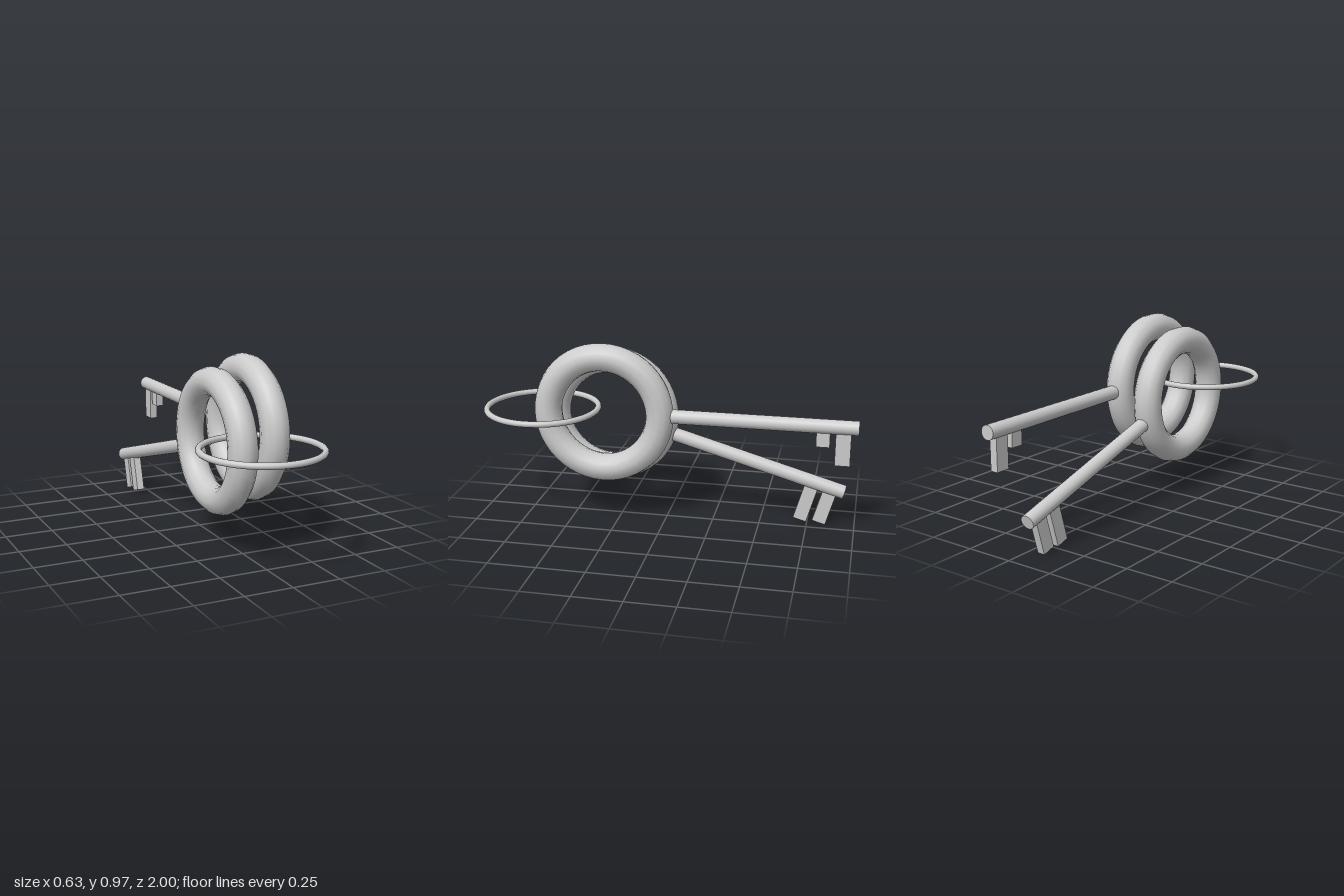
import * as THREE from 'three';

const material = new THREE.MeshStandardMaterial({ color: 0xcccccc });

function addMesh(parent, name, geometry, x = 0, y = 0, z = 0) {
  const mesh = new THREE.Mesh(geometry, material);
  mesh.name = name;
  mesh.position.set(x, y, z);
  parent.add(mesh);
  return mesh;
}

// A key whose origin is the centre of its bow; the shaft runs towards -z.
// Each tooth is [start, end, depth], measured from the bow centre.
function createKey(name, shaftEnd, teeth) {
  const key = new THREE.Group();
  key.name = name;

  // Thick round bow standing in the YZ plane
  addMesh(key, 'bow', new THREE.TorusGeometry(0.299, 0.0735, 12, 48).rotateY(Math.PI / 2));

  // Round shaft, rooted inside the bow
  const shaftStart = 0.31;
  const shaft = new THREE.CylinderGeometry(0.037, 0.037, shaftEnd - shaftStart, 20).rotateX(Math.PI / 2);
  addMesh(key, 'shaft', shaft, 0, 0.003, -(shaftStart + shaftEnd) / 2);

  // Flat teeth hanging from the shaft
  for (const [start, end, depth] of teeth) {
    addMesh(key, 'tooth', new THREE.BoxGeometry(0.041, depth, end - start), 0, -depth / 2, -(start + end) / 2);
  }
  return key;
}

export function createModel() {
  const model = new THREE.Group();
  model.name = 'keyRing';

  // Thin horizontal ring through both bows
  addMesh(model, 'splitRing', new THREE.TorusGeometry(0.298, 0.0165, 12, 64).rotateX(Math.PI / 2), 0, 0.578, 0.683);

  // Level key
  const levelKey = createKey('levelKey', 1.317, [[1.106, 1.175, 0.102], [1.203, 1.28, 0.196]]);
  levelKey.position.set(0.107, 0.603, 0.317);
  model.add(levelKey);

  // Drooping key
  const droopingKey = createKey('droopingKey', 1.312, [[1.103, 1.175, 0.221], [1.203, 1.275, 0.201]]);
  droopingKey.position.set(-0.068, 0.5475, 0.323);
  droopingKey.rotation.x = -THREE.MathUtils.degToRad(16);
  model.add(droopingKey);

  return model;
}
